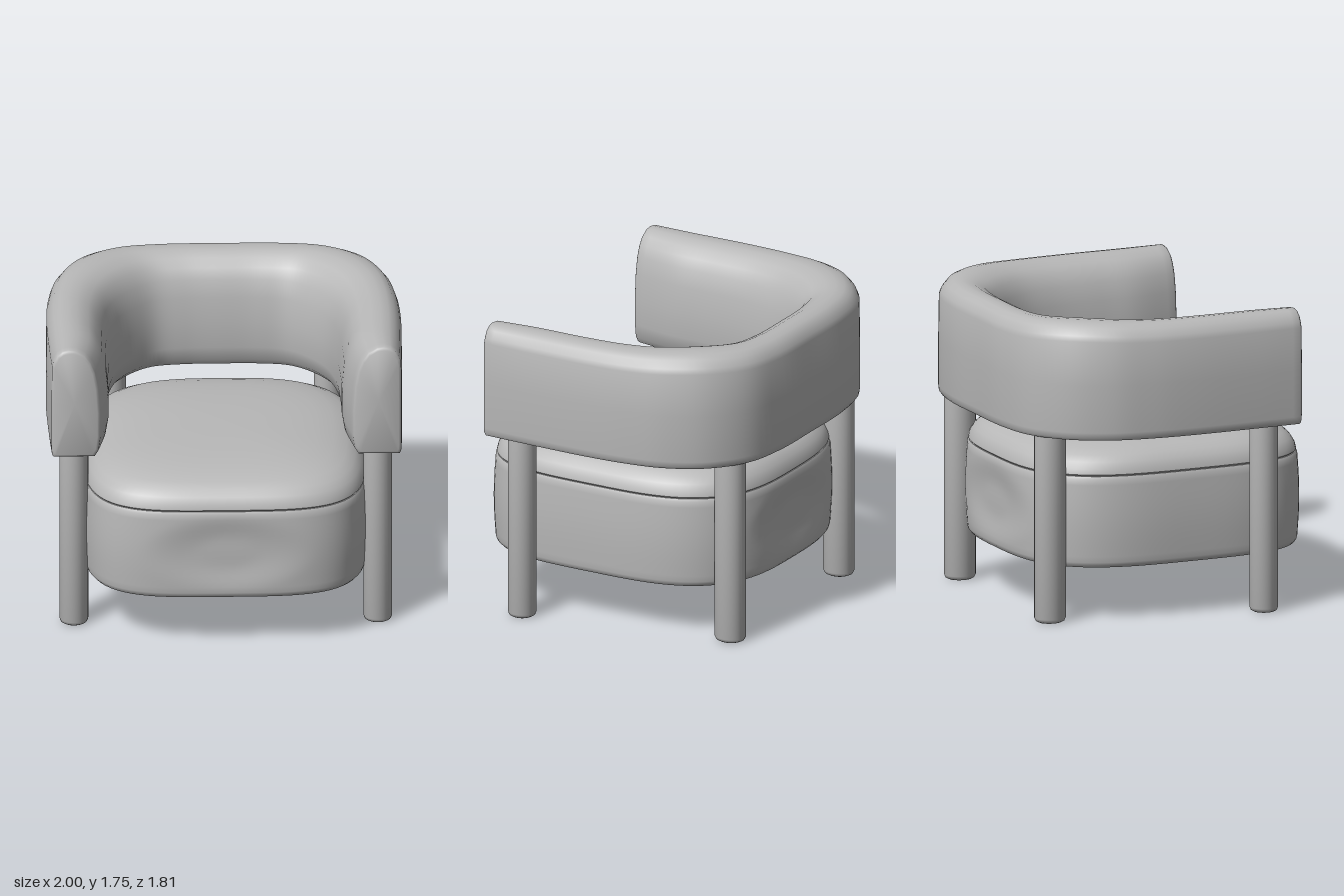
import * as THREE from 'three';
import { toCreasedNormals } from 'three/addons/utils/BufferGeometryUtils.js';

const V = (x, y, z) => new THREE.Vector3(x, y, z);

// Skin a list of closed rings (equal point counts) into one surface.
function loft(rings, crease) {
  const n = rings[0].length, pos = [], idx = [];
  rings.forEach(r => r.forEach(p => pos.push(p.x, p.y, p.z)));
  for (let i = 0; i < rings.length - 1; i++) {
    for (let j = 0; j < n; j++) {
      const a = i * n + j, b = i * n + (j + 1) % n, c = a + n, d = b + n;
      idx.push(a, c, b, b, c, d);
    }
  }
  const g = new THREE.BufferGeometry();
  g.setAttribute('position', new THREE.Float32BufferAttribute(pos, 3));
  g.setIndex(idx);
  return toCreasedNormals(g, crease);
}

// Smooth plan curve from half of its points, mirrored in x.
function planCurve(half) {
  const other = half.slice(0, -1).reverse().map(([x, z]) => [-x, z]);
  return new THREE.CatmullRomCurve3([...half, ...other].map(([x, z]) => V(x, 0, z)));
}

// Wrap-around back and arms: one section swept between an outer and an inner plan curve.
function backrestGeometry() {
  const outer = planCurve([[0.985, 0.655], [0.995, 0.4], [1, 0], [0.985, -0.25], [0.94, -0.48],
    [0.82, -0.7], [0.62, -0.85], [0.35, -0.905], [0, -0.91]]);
  const inner = planCurve([[0.71, 0.655], [0.66, 0.4], [0.655, 0.2], [0.635, -0.1], [0.58, -0.3],
    [0.48, -0.45], [0.36, -0.55], [0.2, -0.58], [0, -0.585]]);
  // [fraction of thickness from outside, height]
  const section = [[0.04, 1.085], [0.01, 1.1], [0, 1.13], [0, 1.4], [0.01, 1.64], [0.04, 1.67],
    [0.12, 1.71], [0.22, 1.73], [0.35, 1.738], [0.5, 1.733], [0.68, 1.705], [0.8, 1.66],
    [0.89, 1.6], [0.96, 1.5], [1, 1.35], [1, 1.2], [0.96, 1.12], [0.88, 1.085]];
  const rings = [], steps = 96;
  for (let i = 0; i <= steps; i++) {
    const o = outer.getPoint(i / steps), n = inner.getPoint(i / steps);
    const t = Math.abs(i / steps - 0.5);
    const lift = 0.015 * Math.exp(-(((t - 0.2) / 0.08) ** 2));
    rings.push(section.map(([u, y]) => {
      const p = o.clone().lerp(n, u);
      p.y = y + (y > 1.6 ? lift : 0);
      return p;
    }));
  }
  // Softly rounded, closed arm ends
  const endRing = (ring, s, dz) => {
    const c = ring.reduce((a, p) => a.add(p), V(0, 0, 0)).divideScalar(ring.length);
    return ring.map(p => {
      const q = p.clone();
      q.x = c.x + (p.x - c.x) * s;
      q.y = 1.41 + (p.y - 1.41) * (1 - (1 - s) * 0.45);
      if (s === 0) q.y = 1.41;
      q.z += dz;
      return q;
    });
  };
  const first = rings[0], last = rings[steps];
  const steps3 = [[0, 0.018], [0.88, 0.018], [0.96, 0.011]];
  const head = steps3.map(([s, d]) => endRing(first, s, d));
  const tail = steps3.map(([s, d]) => endRing(last, s, d)).reverse();
  return loft([...head, ...rings, ...tail], 0.7);
}

// Seat ring: rounded square, rounder at the back than at the front.
function seatRing(s, y) {
  const ring = [], count = 128;
  for (let j = 0; j < count; j++) {
    const a = j / count * Math.PI * 2, c = Math.cos(a), d = Math.sin(a);
    const e = d > 0 ? 3.8 : 3.1;
    const k = s / (Math.abs(c) ** e + Math.abs(d) ** e) ** (1 / e);
    ring.push(V(0.8 * k * c, y, 0.05 + 0.845 * k * d));
  }
  return ring;
}

// Shallow oval hollow in the front and back panels
function dent(p) {
  const r = Math.hypot(p.x / 0.5, (p.y - 0.58) / 0.24);
  const f = 1 - THREE.MathUtils.smoothstep(r, 0.3, 1);
  if (Math.abs(p.z) > 0.5) p.z -= Math.sign(p.z) * 0.025 * f;
}

function seatBaseGeometry() {
  const rings = [[0, 0.31], [0.98, 0.31], [0.995, 0.325]].map(([s, y]) => seatRing(s, y));
  for (let i = 0; i <= 14; i++) {
    const t = i / 14;
    rings.push(seatRing(1 + 0.012 * Math.sin(Math.PI * t), 0.34 + 0.48 * t));
  }
  rings.push(seatRing(0.99, 0.835), seatRing(0.9, 0.835));
  rings.slice(2).forEach(r => r.forEach(dent));
  return loft(rings, 0.6);
}

function cushionGeometry() {
  const profile = [[0.9, 0.83], [0.98, 0.832], [0.993, 0.845], [0.985, 0.875], [0.96, 0.912],
    [0.92, 0.945], [0.86, 0.972], [0.77, 0.994], [0.65, 1.011], [0.5, 1.022], [0.3, 1.03], [0, 1.033]];
  return loft(profile.map(([s, y]) => seatRing(s, y)), 0.7);
}

export function createModel() {
  const model = new THREE.Group();
  model.name = 'armchair';
  const grey = new THREE.MeshStandardMaterial({ color: 0xb8b8b8 });
  grey.name = 'grey';
  const add = (name, geometry) => {
    const mesh = new THREE.Mesh(geometry, grey);
    mesh.name = name;
    model.add(mesh);
    return mesh;
  };

  add('backrestAndArms', backrestGeometry());
  add('seatBase', seatBaseGeometry());
  add('seatCushion', cushionGeometry());

  // Round legs with softened feet
  const legProfile = [[0, 0], [0.06, 0], [0.074, 0.008], [0.081, 0.025], [0.081, 1.12], [0, 1.12]]
    .map(([r, y]) => new THREE.Vector2(r, y));
  const legGeometry = toCreasedNormals(new THREE.LatheGeometry(legProfile, 32), 0.7);
  for (const [side, s] of [['left', 1], ['right', -1]]) {
    add(side + 'FrontLeg', legGeometry).position.set(s * 0.855, 0, 0.49);
    const back = add(side + 'BackLeg', legGeometry);
    back.position.set(s * 0.61, 0, -0.72);
    back.scale.z = 1.12;
  }
  return model;
}
